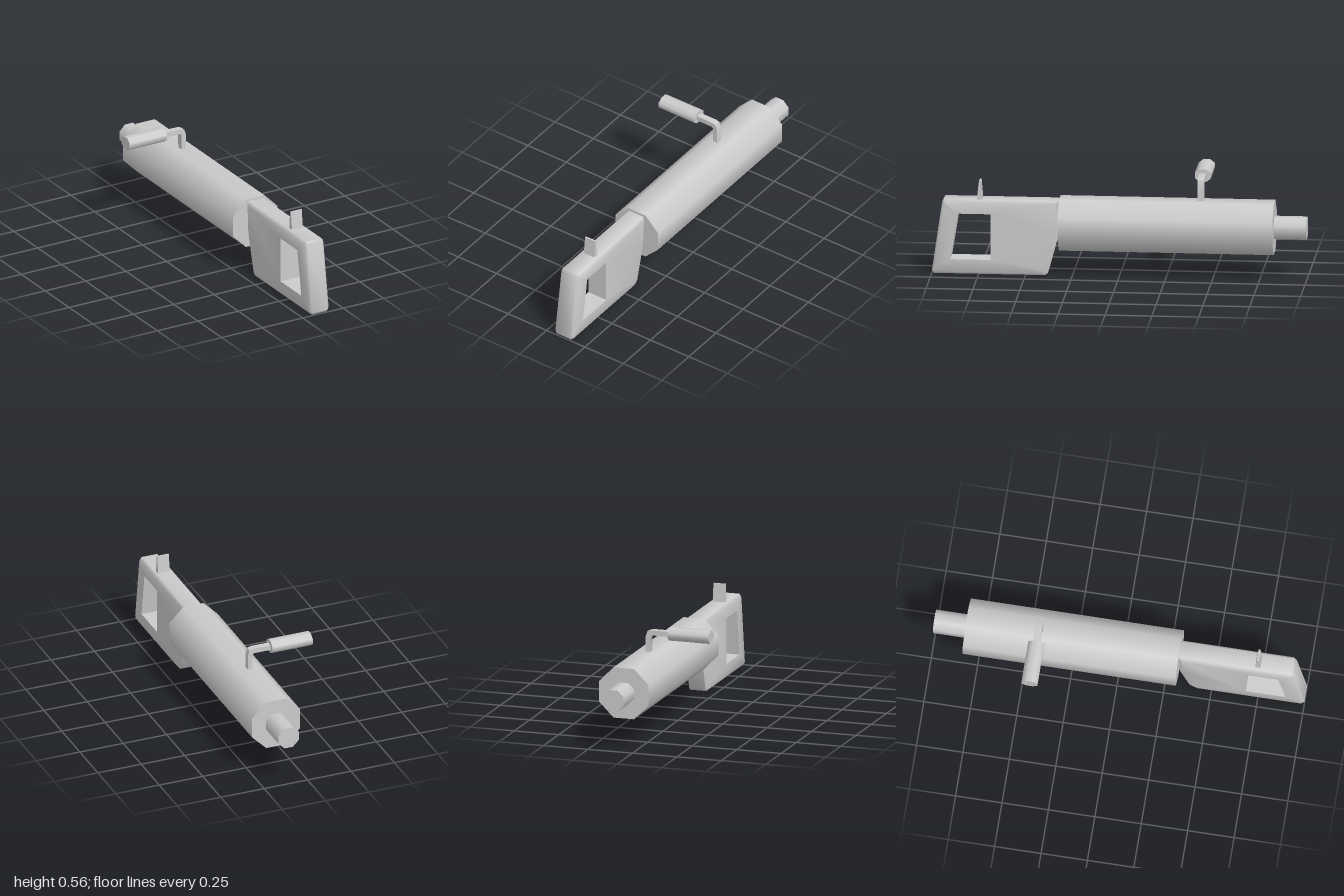
import * as THREE from 'three';
import { toCreasedNormals } from 'three/addons/utils/BufferGeometryUtils.js';

const CX = 0.1085; // centre line of the body
const CY = 0.2775; // height of the tube axis
const material = new THREE.MeshStandardMaterial({ color: 0xcccccc });

function addMesh(group, name, geometry) {
  const mesh = new THREE.Mesh(geometry, material);
  mesh.name = name;
  group.add(mesh);
  return mesh;
}

// Eight-sided cylinder with flats at top and sides, given by its half width
function octagon(apothem, length) {
  const r = apothem / Math.cos(Math.PI / 8);
  return new THREE.CylinderGeometry(r, r, length, 8).rotateY(Math.PI / 8);
}

// Extruded outline, centred on its depth
function slab(points, depth) {
  const shape = new THREE.Shape(points.map(([x, y]) => new THREE.Vector2(x, y)));
  return new THREE.ExtrudeGeometry(shape, { depth, bevelEnabled: false }).translate(0, 0, -depth / 2);
}

// Grip: loops run round the frame from the opening over the bevelled rim and back
function gripGeometry() {
  // z, y, matching opening corner, rim inset along z and y
  const rim = [
    [1.0, 0.014, 0, -0.012, 0.01], [0.99, 0, 0, -0.008, 0.013],
    [0.395, 0, 1, 0.03, 0.013], [0.38, 0.014, 1, 0.04, 0.02],
    [0.325, 0.22, 1, 0.025, 0.01], [0.325, 0.405, 2, 0.012, -0.013],
    [0.935, 0.405, 3, -0.008, -0.013], [0.945, 0.39, 3, -0.012, -0.01],
  ];
  const opening = [[0.9, 0.08], [0.685, 0.08], [0.685, 0.33], [0.86, 0.33]];
  const half = 0.0585, bevel = 0.013;
  const hole = (x) => rim.map((p) => new THREE.Vector3(x, opening[p[2]][1], opening[p[2]][0]));
  const edge = (x, k) => rim.map((p) => new THREE.Vector3(x, p[1] + k * p[4], p[0] + k * p[3]));
  const loops = [
    hole(half), edge(half, 1), edge(half - bevel, 0),
    edge(bevel - half, 0), edge(-half, 1), hole(-half),
  ];
  const positions = [];
  const triangle = (a, b, c) => {
    if (a.equals(b) || b.equals(c) || c.equals(a)) return;
    for (const v of [a, b, c]) positions.push(v.x, v.y, v.z);
  };
  loops.forEach((inner, k) => {
    const outer = loops[(k + 1) % loops.length];
    inner.forEach((a, i) => {
      const j = (i + 1) % inner.length;
      triangle(outer[i], outer[j], inner[j]);
      triangle(outer[i], inner[j], a);
    });
  });
  const geometry = new THREE.BufferGeometry();
  geometry.setAttribute('position', new THREE.Float32BufferAttribute(positions, 3));
  return toCreasedNormals(geometry, 0.96);
}

export function createModel() {
  const model = new THREE.Group();
  model.name = 'model';

  // Main tube and the thin tube at its far end
  addMesh(model, 'mainTube', octagon(0.138, 1.147).rotateX(Math.PI / 2)).position.set(CX, CY, -0.2525);
  addMesh(model, 'endTube', octagon(0.0585, 0.2).rotateX(Math.PI / 2)).position.set(CX, CY, -0.9);

  // Frame grip and its connection into the tube
  addMesh(model, 'grip', gripGeometry()).position.x = CX;
  addMesh(model, 'gripJoint', new THREE.BoxGeometry(0.09, 0.15, 0.03)).position.set(CX, 0.31, 0.325);

  // Thin tapered tab on top of the grip
  const tab = slab([[0.732, 0.4], [0.762, 0.4], [0.75, 0.503], [0.741, 0.503]], 0.067);
  addMesh(model, 'tab', tab.rotateY(-Math.PI / 2)).position.x = CX;

  // Bent side lever with a faceted knob
  const lever = slab([
    [-0.03, 0.507], [0.08, 0.507], [0.087, 0.5], [0.089, 0.4],
    [0.116, 0.4], [0.114, 0.5], [0.105, 0.527], [0.083, 0.534], [-0.03, 0.534],
  ], 0.036);
  addMesh(model, 'leverArm', toCreasedNormals(lever, 0.9)).position.z = -0.432;
  const knob = addMesh(model, 'leverKnob', octagon(0.0345, 0.232).rotateZ(Math.PI / 2));
  knob.position.set(-0.132, 0.5215, -0.432);
  knob.scale.z = 1.25;

  return model;
}
